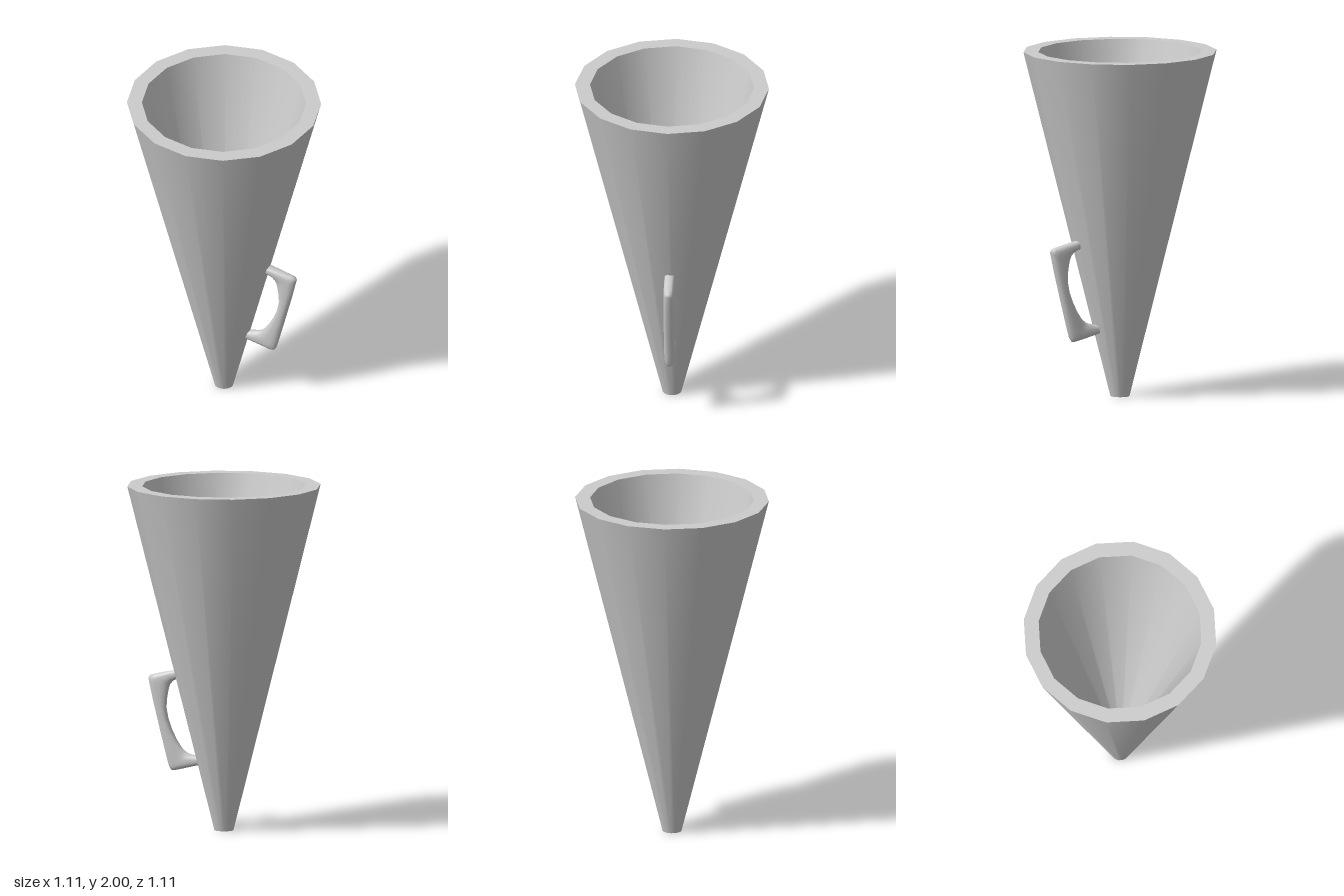
import * as THREE from 'three';

const SIDES = 16;
const material = new THREE.MeshStandardMaterial({ color: 0xcccccc, side: THREE.DoubleSide });

function addMesh(group, name, geometry) {
  const mesh = new THREE.Mesh(geometry, material);
  mesh.name = name;
  group.add(mesh);
}

// Surface of revolution from [radius, height] pairs
function turned(points) {
  return new THREE.LatheGeometry(points.map(([r, y]) => new THREE.Vector2(r, y)), SIDES);
}

// Rounded bar lofted through stations [outerX, outerY, innerX, innerY]
function loftedBar(stations, halfDepth, segments) {
  const positions = [];
  const indices = [];
  const soft = (v) => Math.sign(v) * Math.pow(Math.abs(v), 0.8);
  stations.forEach(([ox, oy, ix, iy], s) => {
    const isEnd = s === 0 || s === stations.length - 1;
    for (let j = 0; j < segments; j++) {
      const a = (j / segments) * Math.PI * 2;
      const c = soft(Math.cos(a)) / 2;
      positions.push(
        (ox + ix) / 2 + (ox - ix) * c,
        (oy + iy) / 2 + (oy - iy) * c,
        isEnd ? 0 : halfDepth * soft(Math.sin(a))
      );
      if (s < stations.length - 1) {
        const k = (j + 1) % segments;
        const p = s * segments + j, q = s * segments + k;
        indices.push(p, q, p + segments, q, q + segments, p + segments);
      }
    }
  });
  const geometry = new THREE.BufferGeometry();
  geometry.setAttribute('position', new THREE.Float32BufferAttribute(positions, 3));
  geometry.setIndex(indices);
  geometry.computeVertexNormals();
  return geometry;
}

export function createModel() {
  const group = new THREE.Group();
  group.name = 'coneWithHandle';

  // Hollow cone: wall, flat rim, hollow inside and small closed tip
  addMesh(group, 'outerWall', turned([[0.055, 0], [0.557, 2]]));
  addMesh(group, 'rim', turned([[0.557, 2], [0.471, 2]]));
  addMesh(group, 'innerWall', turned([[0.471, 2], [0.03, 0.2], [0, 0.2]]));
  addMesh(group, 'tip', turned([[0, 0], [0.055, 0]]));

  // Side handle: straight back edge, arched grip edge, ends sunk in the wall
  addMesh(group, 'handle', loftedBar([
    [0.24, 0.9, 0.24, 0.9],
    [0.24, 0.928, 0.24, 0.876],
    [0.285, 0.918, 0.275, 0.868],
    [0.36, 0.902, 0.305, 0.853],
    [0.425, 0.887, 0.322, 0.832],
    [0.447, 0.879, 0.33, 0.81],
    [0.453, 0.862, 0.335, 0.785],
    [0.436, 0.79, 0.343, 0.74],
    [0.42, 0.72, 0.346, 0.69],
    [0.402, 0.65, 0.335, 0.63],
    [0.383, 0.57, 0.312, 0.565],
    [0.362, 0.485, 0.28, 0.505],
    [0.341, 0.4, 0.255, 0.47],
    [0.328, 0.352, 0.238, 0.453],
    [0.316, 0.335, 0.225, 0.443],
    [0.295, 0.334, 0.208, 0.435],
    [0.23, 0.35, 0.18, 0.428],
    [0.15, 0.37, 0.15, 0.422],
    [0.11, 0.38, 0.11, 0.422],
    [0.11, 0.4, 0.11, 0.4],
  ], 0.03, 14));

  return group;
}
